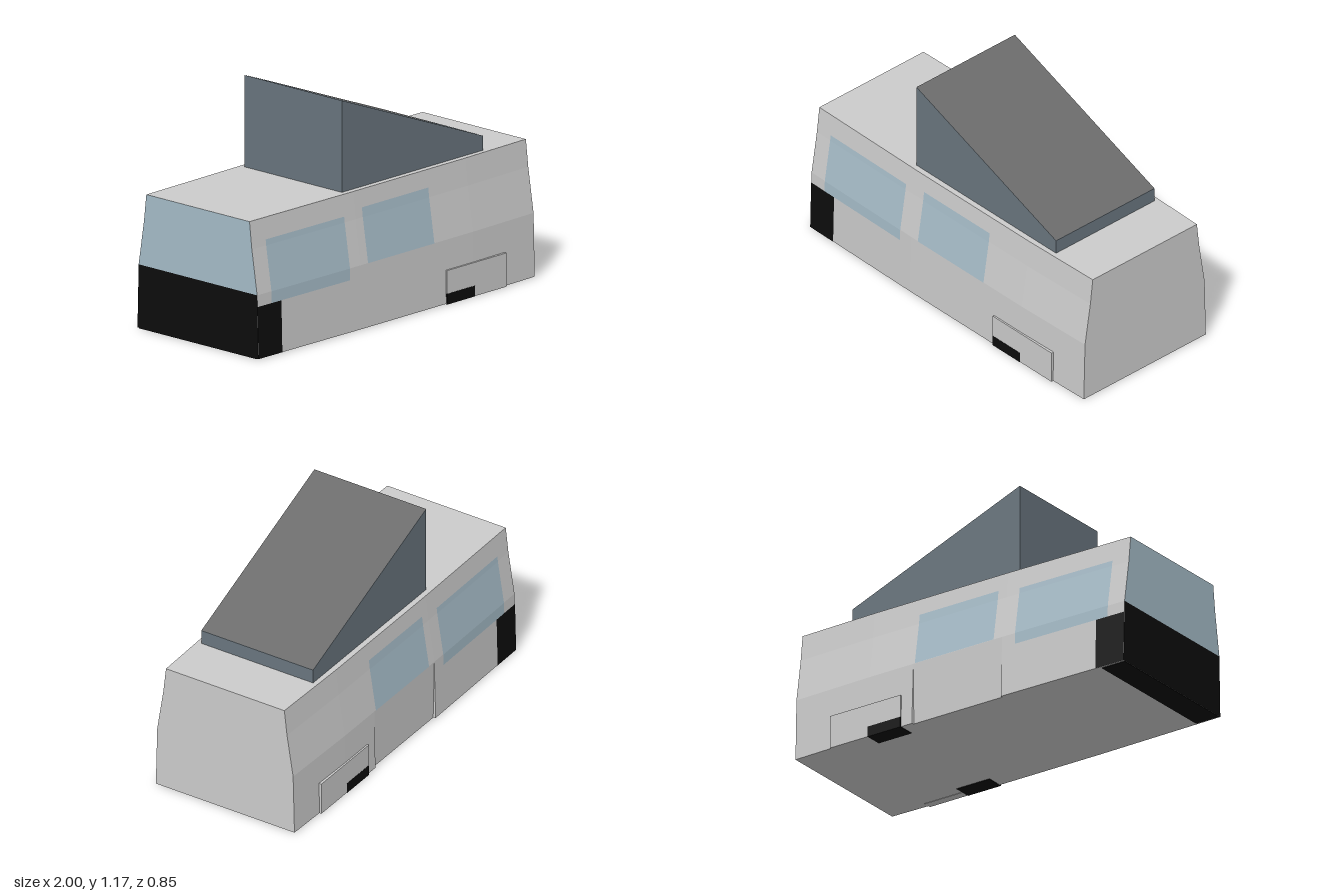
import * as THREE from 'three';

const GREY = 0xcccccc, DARK = 0x0c0c0c, GLASS = 0xa6bcc8, CANVAS = 0x69757e, LID = 0x6a6a6a;
const mat = (color) => new THREE.MeshStandardMaterial({ color, flatShading: true, roughness: 0.8 });

// Body section: height and half width, bottom to top
const ROWS = [[0.003, 0.42], [0.33, 0.412], [0.56, 0.376], [0.7, 0.36]];
// Stations along the body: x, width loss at the ends, depth of the sliding door on the back
const STATIONS = [
  [-1, 0.01, 0], [-0.26, 0, 0], [-0.256, 0, 0.012], [0.28, 0, 0.012], [0.284, 0, 0], [0.55, 0, 0], [1, 0.01, 0],
];

function lerpTable(table, t, col) {
  let i = 0;
  while (i < table.length - 2 && t > table[i + 1][0]) i++;
  const a = table[i], b = table[i + 1];
  const k = Math.min(1, Math.max(0, (t - a[0]) / (b[0] - a[0])));
  return a[col] + (b[col] - a[col]) * k;
}

// z of the side wall; side is +1 for the front, -1 for the back
function wallZ(x, y, side) {
  let z = lerpTable(ROWS, y, 1) - lerpTable(STATIONS, x, 1);
  if (side < 0) z -= lerpTable(STATIONS, x, 2) * Math.max(0, 1 - y / 0.33);
  return side * z;
}

// Mesh from a list of four-cornered faces
function quadMesh(name, color, quads) {
  const pos = [];
  for (const [a, b, c, d] of quads) pos.push(...a, ...b, ...c, ...a, ...c, ...d);
  const geo = new THREE.BufferGeometry();
  geo.setAttribute('position', new THREE.Float32BufferAttribute(pos, 3));
  geo.computeVertexNormals();
  const mesh = new THREE.Mesh(geo, mat(color));
  mesh.name = name;
  return mesh;
}

// Piece that follows the side wall
function wallPatch(name, color, x0, x1, y0, y1, side, lift = 0) {
  const cuts = (a, b, table) => [a, ...table.map((r) => r[0]).filter((v) => v > a && v < b), b];
  const xs = cuts(x0, x1, STATIONS), ys = cuts(y0, y1, ROWS), quads = [];
  const p = (x, y) => [x, y, wallZ(x, y, side) + side * lift];
  for (let i = 0; i < xs.length - 1; i++) {
    for (let j = 0; j < ys.length - 1; j++) {
      const q = [p(xs[i], ys[j]), p(xs[i + 1], ys[j]), p(xs[i + 1], ys[j + 1]), p(xs[i], ys[j + 1])];
      quads.push(side > 0 ? q : q.reverse());
    }
  }
  return quadMesh(name, color, quads);
}

// Horizontal skin between both walls
function deck(name, y, up) {
  const quads = [];
  for (let i = 0; i < STATIONS.length - 1; i++) {
    const a = STATIONS[i][0], b = STATIONS[i + 1][0];
    const q = [[a, y, wallZ(a, y, 1)], [b, y, wallZ(b, y, 1)], [b, y, wallZ(b, y, -1)], [a, y, wallZ(a, y, -1)]];
    quads.push(up ? q : q.reverse());
  }
  return quadMesh(name, GREY, quads);
}

// End face between two rows of the section
function endFace(name, color, x, from, to) {
  const quads = [];
  for (let j = from; j < to; j++) {
    const a = ROWS[j][0], b = ROWS[j + 1][0];
    const q = [[x, a, wallZ(x, a, 1)], [x, a, wallZ(x, a, -1)], [x, b, wallZ(x, b, -1)], [x, b, wallZ(x, b, 1)]];
    quads.push(x > 0 ? q : q.reverse());
  }
  return quadMesh(name, color, quads);
}

function box(name, color, x0, x1, y0, y1, z0, z1) {
  const mesh = new THREE.Mesh(new THREE.BoxGeometry(x1 - x0, y1 - y0, z1 - z0), mat(color));
  mesh.position.set((x0 + x1) / 2, (y0 + y1) / 2, (z0 + z1) / 2);
  mesh.name = name;
  return mesh;
}

export function createModel() {
  const model = new THREE.Group();
  model.name = 'camperVan';

  // Body shell
  const body = new THREE.Group();
  body.name = 'body';
  body.add(
    wallPatch('frontWall', GREY, -1, 1, 0.003, 0.7, 1),
    wallPatch('backWall', GREY, -1, 1, 0.003, 0.7, -1),
    deck('roof', 0.7, true),
    deck('floor', 0.003, false),
    endFace('tailEnd', GREY, 1, 0, 3),
    endFace('noseLower', DARK, -1, 0, 1),
    endFace('windscreen', GLASS, -1, 1, 3),
  );
  model.add(body);

  // Windows, wheel covers and dark lower corners on both sides
  for (const side of [1, -1]) {
    const group = new THREE.Group();
    group.name = side > 0 ? 'frontSideParts' : 'backSideParts';
    const span = (a, b) => [Math.min(a * side, b * side), Math.max(a * side, b * side)];
    group.add(
      wallPatch('cabWindow', GLASS, -0.9, -0.34, 0.27, 0.59, side, 0.002),
      wallPatch('doorWindow', GLASS, -0.21, 0.27, 0.33, 0.61, side, 0.002),
      wallPatch('noseCorner', DARK, -1, -0.83, 0.003, 0.27, side, 0.0015),
      box('wheelCover', GREY, 0.35, 0.78, 0.001, 0.175, ...span(0.38, 0.425)),
      box('wheelShadow', DARK, 0.35, 0.55, 0, 0.055, ...span(0.33, 0.4265)),
    );
    model.add(group);
  }
  model.add(box('noseUnderside', DARK, -0.999, -0.86, 0, 0.01, -0.4, 0.4));

  // Raised roof: wedge-shaped canvas with a sloping lid
  const wedge = new THREE.Shape([
    new THREE.Vector2(-0.31, 0.7), new THREE.Vector2(0.71, 0.7),
    new THREE.Vector2(0.71, 0.775), new THREE.Vector2(-0.31, 1.173),
  ]);
  const wedgeGeo = new THREE.ExtrudeGeometry(wedge, { depth: 0.66, bevelEnabled: false });
  wedgeGeo.translate(0, 0, -0.33);
  const canvas = new THREE.Mesh(wedgeGeo, mat(CANVAS));
  canvas.name = 'roofCanvas';
  const lid = quadMesh('roofLid', LID, [[
    [-0.31, 1.175, 0.33], [0.71, 0.777, 0.33], [0.71, 0.777, -0.33], [-0.31, 1.175, -0.33],
  ]]);
  model.add(canvas, lid);

  return model;
}
